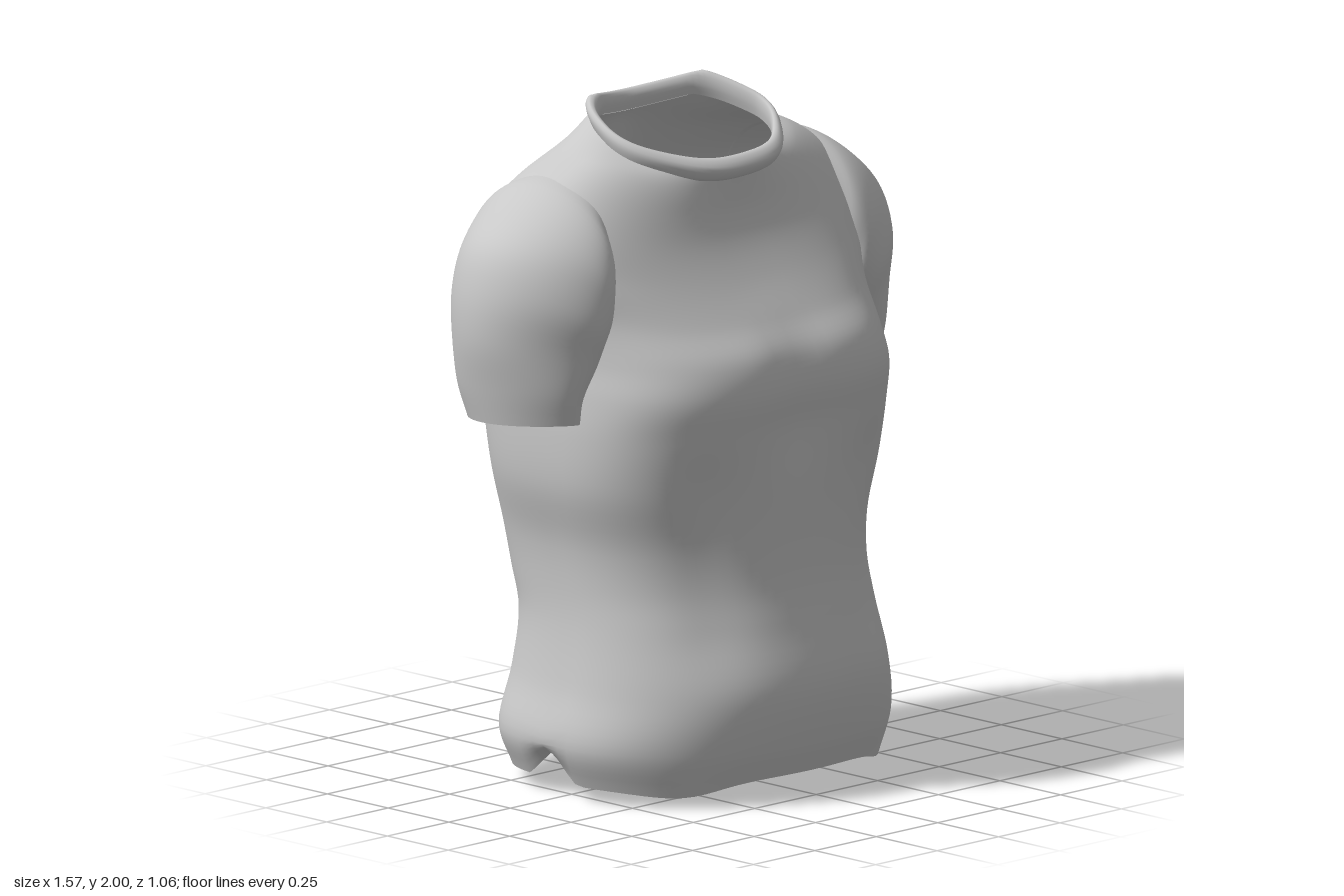
import * as THREE from 'three';

const cloth = new THREE.MeshStandardMaterial({ color: 0xc8c8c8, side: THREE.DoubleSide });
cloth.name = 'light grey cloth';

const SEG = 96;
const spow = (v, e) => Math.sign(v) * Math.pow(Math.abs(v), e);
const bell = (v, w) => Math.exp(-(v * v) / (w * w));

// Smooth surface through a stack of closed rings; each column is a spline.
// Cells for which isHole(point) holds are left open.
function loft(rings, steps, { flip = false, isHole = () => false } = {}) {
  const pts = [], idx = [];
  for (let j = 0; j < SEG; j++) {
    const curve = new THREE.CatmullRomCurve3(rings.map(r => r[j]), false, 'centripetal');
    for (let i = 0; i <= steps; i++) pts.push(curve.getPoint(i / steps));
  }
  for (let j = 0; j < SEG; j++) {
    for (let i = 0; i < steps; i++) {
      const a = j * (steps + 1) + i, b = ((j + 1) % SEG) * (steps + 1) + i;
      if (isHole(pts[a])) continue;
      if (flip) idx.push(a, b, a + 1, b, b + 1, a + 1);
      else idx.push(a, a + 1, b, b, a + 1, b + 1);
    }
  }
  const g = new THREE.BufferGeometry().setFromPoints(pts);
  g.setIndex(idx);
  g.computeVertexNormals();
  return g;
}

const ring = fn => Array.from({ length: SEG }, (_, j) => fn((j / SEG) * Math.PI * 2));

// Height of the collar rim, rising towards the back
const rimHeight = z => 1.92 - 0.4 * z - 0.8 * Math.max(0, -z - 0.2);

// Armhole, hidden inside the sleeve
const isArmhole = p => Math.abs(p.x) > 0.42
  && ((p.y - 1.55) / 0.19) ** 2 + ((p.z + 0.1) / 0.22) ** 2 < 1;

// Torso sections: yFront, ySide, yBack, halfWidth, zFront, zBack, front and back roundness
const TORSO = [
  [0.07, 0.05, 0.025, 0.55, 0.48, -0.42, 2.1, 2.7],
  [0.16, 0.16, 0.15, 0.59, 0.51, -0.45, 2.1, 2.7],
  [0.33, 0.32, 0.33, 0.55, 0.53, -0.43, 2.1, 2.7],
  [0.50, 0.50, 0.50, 0.52, 0.485, -0.41, 2.15, 2.8],
  [0.62, 0.62, 0.62, 0.515, 0.455, -0.445, 2.2, 2.8],
  [0.75, 0.75, 0.75, 0.525, 0.44, -0.465, 2.3, 2.9],
  [0.92, 0.92, 0.92, 0.565, 0.435, -0.475, 2.5, 3.0],
  [1.08, 1.08, 1.08, 0.57, 0.44, -0.50, 2.8, 3.1],
  [1.20, 1.20, 1.20, 0.56, 0.45, -0.525, 3.0, 3.3],
  [1.30, 1.30, 1.30, 0.55, 0.425, -0.53, 2.9, 3.3],
  [1.39, 1.43, 1.40, 0.56, 0.345, -0.525, 2.9, 3.2],
  [1.50, 1.56, 1.52, 0.60, 0.265, -0.495, 2.9, 3.0],
  [1.60, 1.68, 1.66, 0.605, 0.21, -0.445, 2.8, 2.8],
  [1.68, 1.79, 1.78, 0.52, 0.185, -0.38, 2.5, 2.4],
  [1.74, 1.86, 1.88, 0.40, 0.18, -0.315, 2.2, 2.1],
  [1.80, 1.90, 1.93, 0.305, 0.18, -0.275, 2.0, 1.9],
];

function torsoRing([yf, ys, yb, w, zf, zb, nf, nb], k) {
  return ring(t => {
    const s = Math.sin(t), front = s > 0, n = front ? nf : nb;
    const x = w * spow(Math.cos(t), 2 / n);
    let z = (zf + zb) / 2 + (zf - zb) / 2 * spow(s, 2 / n);
    let y = ys + ((front ? yf : yb) - ys) * s * s;
    // groove down the spine
    if (!front && k < 14) z += 0.025 * bell(x, 0.09);
    // soft hollow between the two sides of the chest
    if (front && k > 6 && k < 10) z -= 0.02 * bell(x, 0.1);
    // shallow hollows either side of the stomach
    if (front && k > 2 && k < 7) z -= 0.015 * bell(Math.abs(x) - 0.32, 0.1);
    // side notches and centre dip of the hem
    if (k === 0) {
      if (Math.abs(x) > 0.3) y += 0.08 * Math.max(0, 1 - Math.abs(z + 0.03) / 0.1);
      if (front) y -= 0.03 * bell(Math.abs(x) - 0.4, 0.12);
      else y -= 0.025 * bell(x, 0.06);
    }
    // neckline tucked under the collar
    if (k === TORSO.length - 1) y = rimHeight(z) - 0.045;
    return new THREE.Vector3(x, y, z);
  });
}

// Sleeve sections: outer x, outer y, inner x, inner y, zFront, zBack
const SLEEVE = [
  [0.45, 1.82, 0.48, 1.40, 0.12, -0.345],
  [0.54, 1.80, 0.49, 1.38, 0.165, -0.385],
  [0.65, 1.73, 0.50, 1.35, 0.19, -0.39],
  [0.74, 1.64, 0.51, 1.32, 0.195, -0.385],
  [0.78, 1.52, 0.525, 1.29, 0.19, -0.375],
  [0.785, 1.38, 0.54, 1.25, 0.165, -0.36],
  [0.76, 1.24, 0.555, 1.18, 0.14, -0.33],
  [0.735, 1.13, 0.57, 1.12, 0.125, -0.30],
];

function sleeveRing([ox, oy, ix, iy, zf, zb], k, side) {
  // widest part of each section leans towards the body
  const lean = 0.085 * Math.min(1, k / 3) * (k > 5 ? 0.6 : 1);
  return ring(t => {
    const u = Math.cos(t), v = Math.sin(t);
    const z = (zf + zb) / 2 + v * (zf - zb) / 2;
    return new THREE.Vector3(
      side * ((ox + ix) / 2 + u * (ox - ix) / 2 - lean * v * v),
      (oy + iy) / 2 + u * (oy - iy) / 2 + 0.07 * z * (k / 7),
      z);
  });
}

// Collar sections: halfWidth, zFront, zBack, drop below the rim
const COLLAR = [
  [0.30, 0.17, -0.255, 0.065],
  [0.295, 0.165, -0.25, 0.03],
  [0.30, 0.175, -0.265, 0.002],
  [0.312, 0.195, -0.29, 0.0],
  [0.32, 0.213, -0.305, 0.018],
  [0.312, 0.20, -0.285, 0.05],
  [0.305, 0.185, -0.27, 0.065],
];

function collarRing([w, zf, zb, drop]) {
  return ring(t => {
    const s = Math.sin(t), e = s > 0 ? 1 : 1.12;
    const wob = 1 + 0.012 * Math.sin(7 * t + 0.6);
    const x = w * spow(Math.cos(t), e);
    const z = (zf + zb) / 2 + (zf - zb) / 2 * spow(s, e) * wob;
    return new THREE.Vector3(x * wob, rimHeight(z) - drop, z);
  });
}

export function createModel() {
  const shirt = new THREE.Group();
  shirt.name = 'shirt';
  const add = (name, geometry) => {
    const m = new THREE.Mesh(geometry, cloth);
    m.name = name;
    shirt.add(m);
  };
  add('torso', loft(TORSO.map(torsoRing), 90, { isHole: isArmhole }));
  for (const side of [1, -1]) {
    add(side > 0 ? 'leftSleeve' : 'rightSleeve',
      loft(SLEEVE.map((r, k) => sleeveRing(r, k, side)), 35, { flip: side > 0 }));
  }
  add('collar', loft(COLLAR.map(collarRing), 18));
  return shirt;
}
